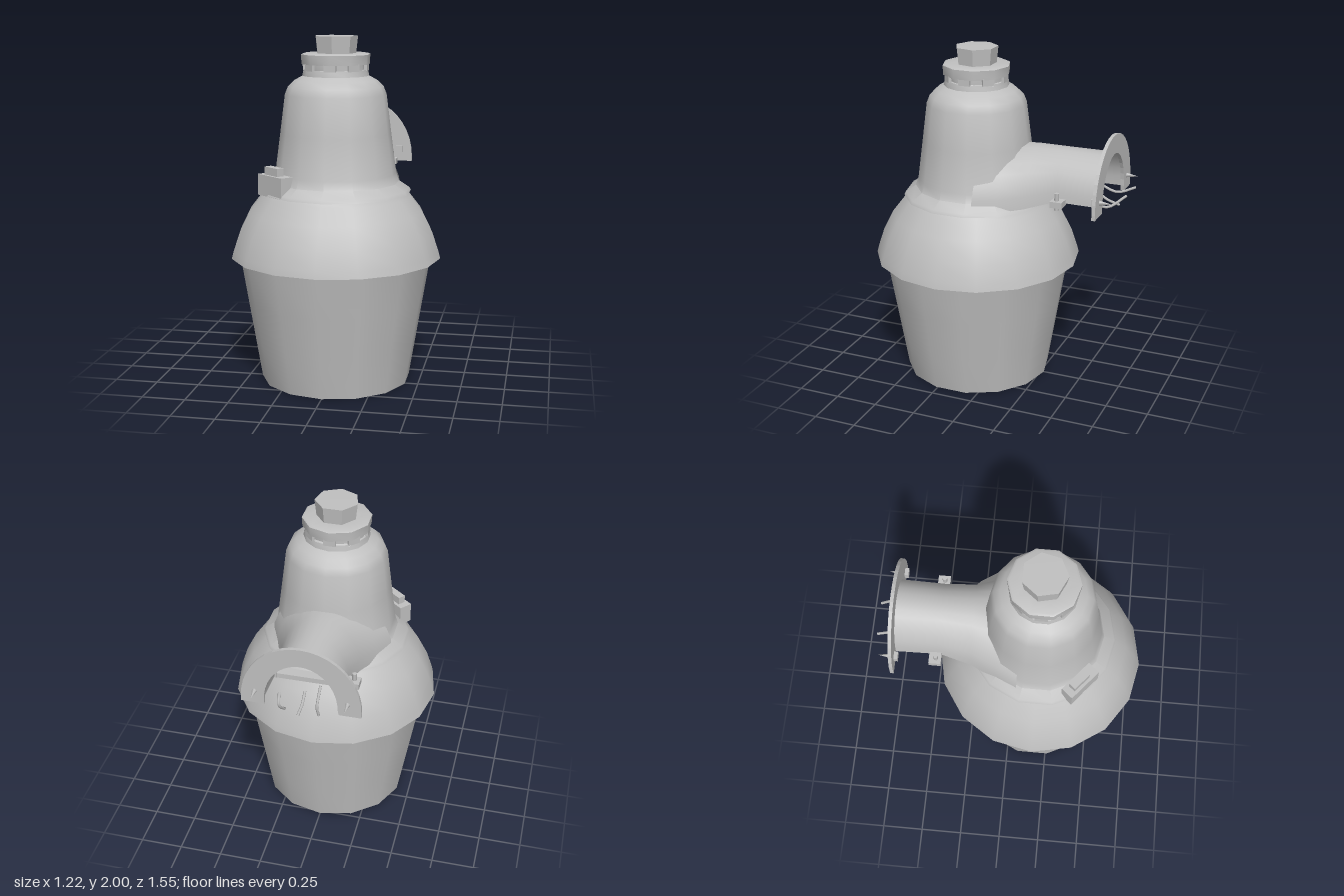
import * as THREE from 'three';
import { toCreasedNormals } from 'three/addons/utils/BufferGeometryUtils.js';

export function createModel() {
  const group = new THREE.Group();
  const metal = new THREE.MeshStandardMaterial({ color: 0xc0c0c0, side: THREE.DoubleSide });
  metal.name = 'grey metal';
  const AXIS_Z = 0.165; // the lamp body stands forward of the mounting arm

  function add(name, geometry, x = 0, y = 0, z = 0, parent = group) {
    const mesh = new THREE.Mesh(geometry, metal);
    mesh.name = name;
    mesh.position.set(x, y, z);
    parent.add(mesh);
    return mesh;
  }

  // Turned parts: [radius, height] profiles around the lamp axis
  function turned(name, profile, sides, crease = 0.7) {
    const points = profile.map(([r, y]) => new THREE.Vector2(r, y));
    const lathe = new THREE.LatheGeometry(points, sides);
    return add(name, toCreasedNormals(lathe, crease), 0, 0, AXIS_Z);
  }

  // Open-bottomed refractor
  turned('refractor', [[0.435, 0], [0.475, 0.24], [0.515, 0.48], [0.556, 0.725]], 14);

  // Flared shade with a turned-in lower lip
  turned('shade', [[0.55, 0.73], [0.61, 0.735], [0.6, 0.775], [0.565, 0.88],
    [0.505, 1.0], [0.435, 1.09], [0.42, 1.11]], 16);

  // Ballast housing with its base flange and rounded shoulder
  turned('housing', [[0.4, 1.108], [0.435, 1.112], [0.425, 1.13], [0.365, 1.17], [0.348, 1.22],
    [0.318, 1.45], [0.29, 1.67], [0.272, 1.715], [0.235, 1.75], [0.19, 1.775], [0.183, 1.81]], 14);

  // Socket neck, notched collar and photocell on top
  turned('neck', [[0.183, 1.8], [0.17, 1.81], [0.17, 1.86]], 10);
  turned('collar', [[0.165, 1.84], [0.195, 1.84], [0.198, 1.895], [0.185, 1.902], [0.1, 1.902]], 10);
  turned('photocell', [[0.115, 1.895], [0.126, 1.998], [0, 2]], 7);
  for (let i = 0; i < 8; i++) {
    const a = (i / 8) * Math.PI * 2;
    const tooth = add('collarTooth', new THREE.BoxGeometry(0.07, 0.04, 0.016),
      Math.sin(a) * 0.176, 1.825, AXIS_Z + Math.cos(a) * 0.176);
    tooth.rotation.y = a;
  }

  // Mounting arm: an arched tunnel, open below, that widens into the housing
  const sections = [ // z, half width, base height, crown height
    [-0.66, 0.21, 1.2, 1.46], [-0.4, 0.205, 1.2, 1.46],
    [-0.22, 0.235, 1.14, 1.46], [-0.08, 0.3, 1.12, 1.45], [0.05, 0.36, 1.115, 1.44],
  ];
  const STEPS = 14, positions = [], indices = [];
  sections.forEach(([z, w, base, top], row) => {
    for (let i = 0; i <= STEPS; i++) {
      const a = (i / STEPS) * Math.PI;
      positions.push(-Math.cos(a) * w, base + Math.sin(a) * (top - base), z);
      if (row && i) {
        const d = row * (STEPS + 1) + i, b = d - STEPS - 1;
        indices.push(b - 1, d - 1, b, b, d - 1, d);
      }
    }
  });
  const armGeometry = new THREE.BufferGeometry();
  armGeometry.setAttribute('position', new THREE.Float32BufferAttribute(positions, 3));
  armGeometry.setIndex(indices);
  armGeometry.computeVertexNormals();
  add('mountingArm', armGeometry);

  // Half-ring flange at the arm's end
  const ring = new THREE.Shape();
  ring.absellipse(0, 1.2, 0.335, 0.365, 0, Math.PI, false);
  ring.lineTo(-0.335, 1.17);
  ring.lineTo(-0.21, 1.17);
  ring.absellipse(0, 1.2, 0.205, 0.255, Math.PI, 0, true);
  ring.lineTo(0.205, 1.17);
  ring.lineTo(0.335, 1.17);
  ring.closePath();
  add('armFlange', new THREE.ExtrudeGeometry(ring,
    { depth: 0.02, bevelEnabled: false, curveSegments: 10 }), 0, 0, -0.675);

  // Flange studs, pole clamp lugs and bolts, mirrored
  for (const s of [-1, 1]) {
    const stud = add('flangeStud', new THREE.ConeGeometry(0.016, 0.08, 6), s * 0.258, 1.25, -0.705);
    stud.rotation.x = -Math.PI / 2;
    add('studNut', new THREE.BoxGeometry(0.045, 0.04, 0.025), s * 0.258, 1.25, -0.645);
    add('clampLug', new THREE.BoxGeometry(0.075, 0.035, 0.07), s * 0.235, 1.205, -0.425);
    add('clampBolt', new THREE.CylinderGeometry(0.014, 0.014, 0.1, 6), s * 0.24, 1.215, -0.42);
  }
  add('clampBar', new THREE.BoxGeometry(0.48, 0.03, 0.06), 0, 1.2, -0.425);

  // Loose wire ends curling out of the arm
  const wires = [
    [[-0.08, 1.25, -0.55], [-0.09, 1.2, -0.67], [-0.125, 1.23, -0.77]],
    [[0.14, 1.2, -0.6], [0.12, 1.18, -0.68], [0.06, 1.24, -0.77]],
    [[0, 1.22, -0.58], [0, 1.18, -0.64], [0.005, 1.16, -0.715]],
  ];
  for (const path of wires) {
    const curve = new THREE.CatmullRomCurve3(path.map((p) => new THREE.Vector3(...p)));
    add('wire', new THREE.TubeGeometry(curve, 8, 0.008, 5));
  }

  // Latch on the housing's front right
  const latch = new THREE.Group();
  latch.name = 'latch';
  latch.position.set(-0.3, 0, 0.41);
  latch.rotation.y = -0.7;
  group.add(latch);
  add('latchBlock', new THREE.BoxGeometry(0.22, 0.12, 0.08), 0, 1.17, 0, latch);
  add('latchHandle', new THREE.BoxGeometry(0.12, 0.05, 0.045), -0.01, 1.25, 0, latch);
  return group;
}
